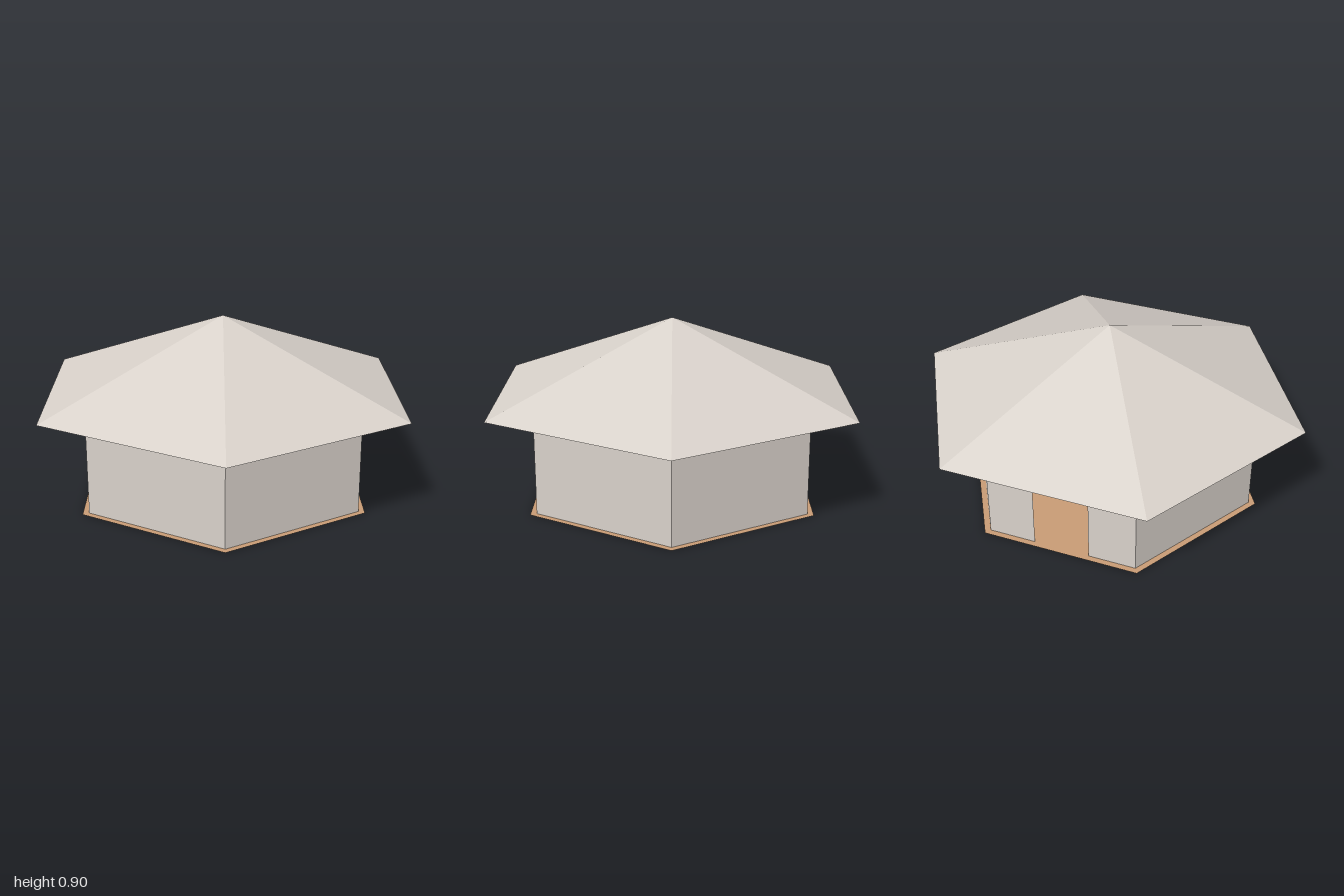
import * as THREE from 'three';

const SIDES = 6;
const DEG = Math.PI / 180;
const TURN = 50 * DEG; // rotation of all hexagons about y

export function createModel() {
  const group = new THREE.Group();
  const plaster = new THREE.MeshStandardMaterial({ color: 0xd8d1ca, flatShading: true, side: THREE.DoubleSide });
  plaster.name = 'pale plaster';
  const timber = new THREE.MeshStandardMaterial({ color: 0xc89c75, flatShading: true, side: THREE.DoubleSide });
  timber.name = 'tan timber';

  const add = (parent, name, geometry, material) => {
    const mesh = new THREE.Mesh(geometry, material);
    mesh.name = name;
    parent.add(mesh);
    return mesh;
  };

  // Roof: open six-sided cone with wide eaves
  const roofBase = 0.515, roofHeight = 0.39;
  const roof = add(group, 'roof', new THREE.ConeGeometry(1.0154, roofHeight, SIDES, 1, true, TURN), plaster);
  roof.position.y = roofBase + roofHeight / 2;

  // Floor: thin sheet reaching a little past the walls
  const floor = add(group, 'floor', new THREE.CircleGeometry(0.805, SIDES, 20 * DEG), timber);
  floor.rotation.x = -Math.PI / 2;
  floor.position.y = 0.001;

  // Walls: thin panels, one side split by a doorway
  const radius = 0.77, wallHeight = 0.508, doorWidth = 0.285;
  const apothem = radius * Math.cos(Math.PI / SIDES);
  for (let i = 0; i < SIDES; i++) {
    const side = new THREE.Group();
    side.name = i === 3 ? 'doorwaySide' : 'wallSide';
    side.rotation.y = (80 + 60 * i) * DEG;
    group.add(side);
    const panel = (width, x) => {
      const wall = add(side, 'wallPanel', new THREE.PlaneGeometry(width, wallHeight), plaster);
      wall.position.set(x, wallHeight / 2, apothem);
    };
    if (i === 3) {
      const width = (radius - doorWidth) / 2;
      for (const s of [-1, 1]) panel(width, s * (doorWidth + width) / 2);
    } else {
      panel(radius, 0);
    }
  }
  return group;
}
